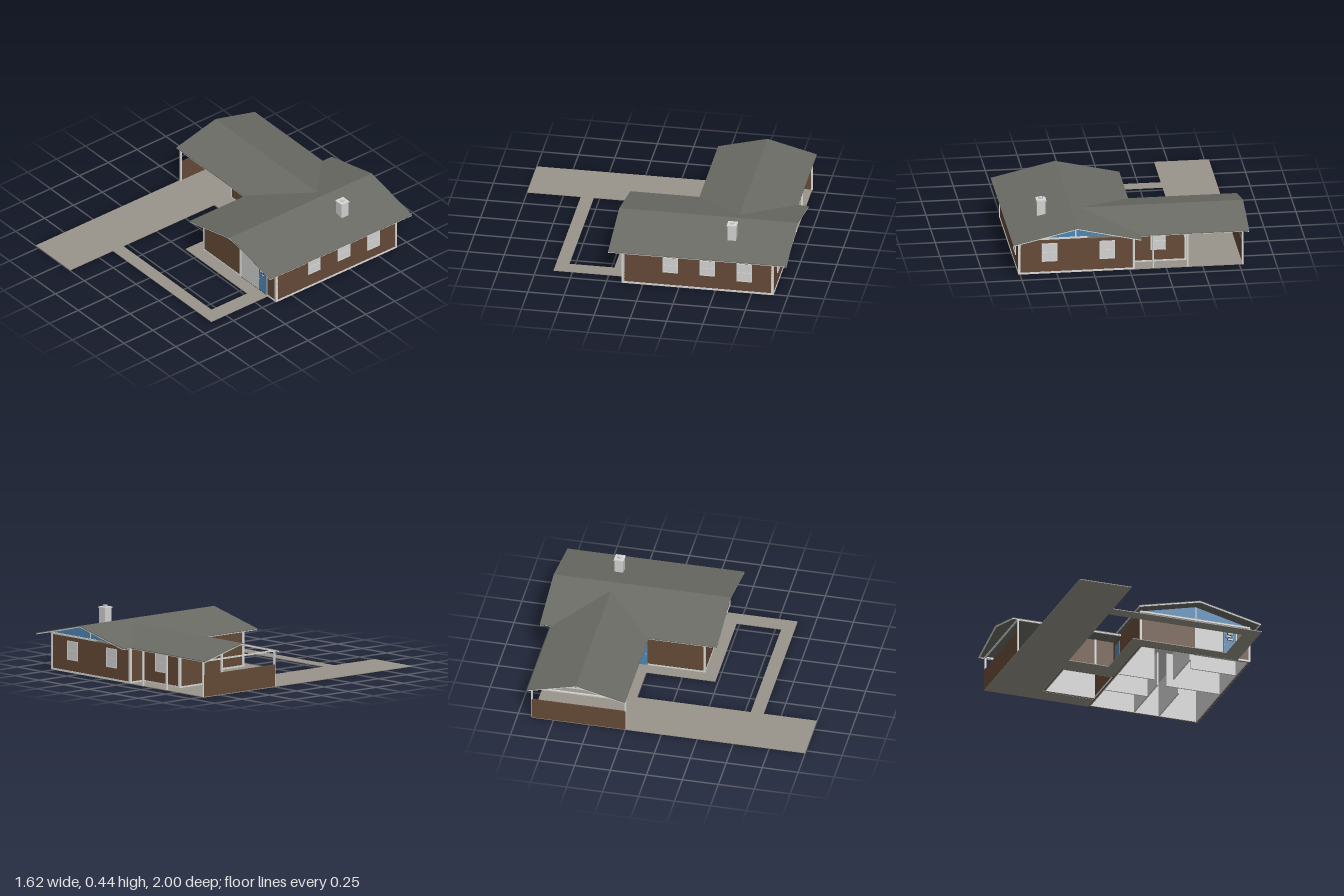
import * as THREE from 'three';

const paint = (name, hex) => {
  const m = new THREE.MeshStandardMaterial({ color: hex });
  m.name = name;
  return m;
};

export function createModel() {
  const roofGrey = paint('roof grey', 0x6b6b65);
  const brown = paint('brown siding', 0x654a37);
  const blue = paint('blue paint', 0x4f86b2);
  const white = paint('light trim', 0xd8d8d6);
  const plaster = paint('plaster', 0xd2d2d2);
  const concrete = paint('concrete', 0x9a958b);
  const dark = paint('dark frame', 0x2b3238);

  const house = new THREE.Group();
  house.name = 'house';

  const add = (name, geo, mat, parent = house) => {
    const mesh = new THREE.Mesh(geo, mat);
    mesh.name = name;
    parent.add(mesh);
    return mesh;
  };
  // Box given by its limits on each axis
  const box = (name, mat, x0, x1, y0, y1, z0, z1, parent = house) => {
    const mesh = add(name, new THREE.BoxGeometry(x1 - x0, y1 - y0, z1 - z0), mat, parent);
    mesh.position.set((x0 + x1) / 2, (y0 + y1) / 2, (z0 + z1) / 2);
    return mesh;
  };
  const extrude = (points, depth) => new THREE.ExtrudeGeometry(
    new THREE.Shape(points.map(([x, y]) => new THREE.Vector2(x, y))), { depth, bevelEnabled: false });
  // Gabled strip, extruded along +z
  const chevron = (half, eave, ridge, thick, depth) => extrude([
    [-half, eave], [-half, eave - thick], [0, ridge - thick],
    [half, eave - thick], [half, eave], [0, ridge]], depth);

  // Ground slabs
  box('driveway', concrete, -0.78, -0.405, 0, 0.005, -0.9, 1);
  box('path', concrete, -0.405, 0.67, 0, 0.005, 0.54, 0.63);
  box('entryPath', concrete, 0.56, 0.67, 0, 0.005, 0.23, 0.54);
  box('frontPorch', concrete, -0.115, 0.67, 0, 0.005, 0.14, 0.23);
  box('sidePorch', concrete, -0.115, -0.03, 0, 0.005, -0.25, 0.14);
  box('wingPorch', concrete, -0.405, -0.03, 0, 0.005, -0.39, -0.25);
  box('backPorch', concrete, -0.405, -0.03, 0, 0.005, -0.9, -0.78);

  // Outer walls: siding outside, plaster lining inside
  const T = 0.008;
  const wallX = (name, mat, x0, x1, z, inward) => { // wall running along x
    box(name, mat, x0, x1, 0.002, 0.255, Math.min(z, z + inward * T), Math.max(z, z + inward * T));
    box(name + 'Lining', plaster, x0, x1, 0.002, 0.255,
      Math.min(z + inward * T, z + inward * 2 * T), Math.max(z + inward * T, z + inward * 2 * T));
  };
  const wallZ = (name, mat, z0, z1, x, inward) => { // wall running along z
    box(name, mat, Math.min(x, x + inward * T), Math.max(x, x + inward * T), 0.002, 0.255, z0, z1);
    box(name + 'Lining', plaster, Math.min(x + inward * T, x + inward * 2 * T),
      Math.max(x + inward * T, x + inward * 2 * T), 0.002, 0.255, z0, z1);
  };
  wallX('frontWall', brown, -0.03, 0.37, 0.14, -1);
  wallX('entryWall', plaster, 0.37, 0.66, 0.135, -1);
  wallX('frontCornerWall', brown, 0.66, 0.76, 0.14, -1);
  wallX('backWall', brown, -0.03, 0.76, -0.9, 1);
  wallZ('rightWall', brown, -0.9, 0.14, 0.76, -1);
  wallZ('leftWall', brown, -0.9, 0.14, -0.03, 1);
  wallX('wingFrontWall', brown, -0.4, -0.03, -0.39, -1);
  wallX('wingBackWall', brown, -0.4, -0.03, -0.78, 1);
  wallZ('wingLeftWall', brown, -0.78, -0.39, -0.4, 1);

  // Ceiling and inner partitions
  box('ceiling', plaster, -0.02, 0.75, 0.248, 0.252, -0.89, 0.125);
  box('wingCeiling', plaster, -0.39, -0.03, 0.248, 0.252, -0.77, -0.4);
  [[-0.02, 0.25, -0.35], [0.36, 0.75, -0.42], [-0.02, 0.3, -0.62], [0.42, 0.75, -0.1]].forEach(
    ([x0, x1, z]) => box('partition', plaster, x0, x1, 0.005, 0.25, z - 0.005, z + 0.005));
  [[-0.89, -0.42, 0.3], [-0.89, -0.5, 0.48], [-0.3, 0.03, 0.37]].forEach(
    ([z0, z1, x]) => box('partition', plaster, x - 0.005, x + 0.005, 0.005, 0.25, z0, z1));

  // Corner boards, sills and beams
  const board = (x, z, w = 0.014) => box('cornerBoard', white, x - w / 2, x + w / 2, 0.005, 0.255, z - w / 2, z + w / 2);
  [[-0.027, 0.137], [0.757, 0.137], [0.757, -0.897], [-0.027, -0.897],
    [-0.397, -0.393], [-0.397, -0.777], [-0.163, -0.391]].forEach(([x, z]) => board(x, z));
  [0.37, 0.664].forEach(x => board(x, 0.137, 0.01));
  [[-0.03, 0.37, 0.14], [0.66, 0.76, 0.14], [-0.03, 0.76, -0.9], [-0.4, -0.03, -0.39], [-0.4, -0.03, -0.78]].forEach(
    ([x0, x1, z]) => box('sill', white, x0, x1, 0.003, 0.016, z - 0.003, z + 0.003));
  [[-0.9, 0.14, 0.76], [-0.9, 0.14, -0.03], [-0.78, -0.39, -0.4]].forEach(
    ([z0, z1, x]) => box('sill', white, x - 0.003, x + 0.003, 0.003, 0.016, z0, z1));
  [0.14, -0.9].forEach(z => box('gableBeam', white, -0.03, 0.76, 0.25, 0.262, z - 0.006, z + 0.006));

  // Blue gables with a centre batten
  [0.131, -0.899].forEach(z => {
    const g = add('gable', extrude([[-0.03, 0.255], [0.76, 0.255], [0.76, 0.258], [0.37, 0.353], [-0.03, 0.258]], 0.008), blue);
    g.position.z = z;
  });
  [0.139, -0.902].forEach(z => box('gableBatten', white, 0.366, 0.374, 0.26, 0.348, z, z + 0.003));

  // Entry: transom panel, door and staggered panes
  box('transomEdge', dark, 0.372, 0.66, 0.232, 0.251, 0.134, 0.1365);
  box('transom', plaster, 0.374, 0.658, 0.234, 0.251, 0.134, 0.138);
  box('frontDoor', blue, 0.57, 0.66, 0.006, 0.215, 0.13, 0.138);
  [[0.598, 0.183], [0.582, 0.162], [0.598, 0.141]].forEach(([x, y]) => {
    box('paneFrame', dark, x, x + 0.045, y, y + 0.017, 0.137, 0.141);
    box('pane', white, x + 0.005, x + 0.04, y + 0.004, y + 0.013, 0.138, 0.143);
  });
  const knob = (x, z) => add('doorKnob', new THREE.SphereGeometry(0.004, 8, 6), white).position.set(x, 0.1, z);
  knob(0.577, 0.142);
  box('sideDoor', blue, -0.034, -0.01, 0.006, 0.215, -0.35, -0.26);
  knob(-0.038, -0.27);

  // Sash windows
  const addWindow = (x, z, turn, y0 = 0.11, y1 = 0.222, w = 0.106) => {
    const g = new THREE.Group();
    g.name = 'window';
    box('glass', plaster, -w / 2, w / 2, y0, y1, 0, 0.003, g);
    [-1, 1].forEach(s => {
      const e = s * (w / 2 - 0.003);
      box('jamb', white, e - 0.003, e + 0.003, y0, y1, 0, 0.006, g);
    });
    [y0, (y0 + y1) / 2 - 0.003, y1 - 0.006].forEach(
      y => box('rail', white, -w / 2, w / 2, y, y + 0.006, 0, 0.0055, g));
    g.position.set(x, 0, z);
    g.rotation.y = turn;
    house.add(g);
  };
  addWindow(0.76, -0.19, Math.PI / 2);
  addWindow(0.76, -0.447, Math.PI / 2);
  addWindow(0.76, -0.702, Math.PI / 2, 0.088);
  addWindow(0.55, -0.9, Math.PI, 0.09);
  addWindow(0.155, -0.9, Math.PI, 0.09);
  addWindow(-0.21, -0.78, Math.PI, 0.09);

  // Carport: half wall, posts and beams
  box('carportHalfWall', brown, -0.781, -0.772, 0.005, 0.155, -0.9, -0.25);
  [[-0.772, -0.9], [-0.772, -0.25], [-0.397, -0.897], [-0.16, -0.897]].forEach(
    ([x, z]) => box('post', white, x - 0.006, x + 0.006, 0.004, 0.25, z - 0.006, z + 0.006));
  [-0.9, -0.253].forEach(z => box('carportBeam', white, -0.78, -0.03, 0.244, 0.254, z - 0.005, z + 0.005));
  box('carportTie', white, -0.778, -0.768, 0.244, 0.254, -0.9, -0.25);

  // Main roof, with verge boards and fascias
  const main = add('mainRoof', chevron(0.44, 0.26, 0.362, 0.005, 1.23), roofGrey);
  main.position.set(0.37, 0, -1);
  [-0.999, 0.221].forEach(z => {
    const v = add('verge', chevron(0.438, 0.2565, 0.3585, 0.008, 0.008), white);
    v.position.set(0.37, 0, z);
  });
  box('fascia', white, 0.802, 0.808, 0.25, 0.257, -0.998, 0.228);
  box('fascia', white, -0.068, -0.062, 0.25, 0.257, -0.245, 0.228);
  box('fascia', white, -0.068, -0.062, 0.25, 0.257, -0.998, -0.925);

  // Wing roof runs into the main roof
  const wing = add('wingRoof', chevron(0.34, 0.257, 0.345, 0.005, 1.105), roofGrey);
  wing.rotation.y = Math.PI / 2;
  wing.position.set(-0.815, 0, -0.585);
  const wingVerge = add('verge', chevron(0.338, 0.2535, 0.3415, 0.008, 0.008), white);
  wingVerge.rotation.y = Math.PI / 2;
  wingVerge.position.set(-0.814, 0, -0.585);
  [-0.92, -0.25].forEach(z => box('fascia', white, -0.812, -0.07, 0.248, 0.2545, z - 0.003, z + 0.003));

  // Chimney
  box('chimney', plaster, 0.54, 0.6, 0.3, 0.415, -0.615, -0.555);
  box('chimneyCap', white, 0.536, 0.604, 0.415, 0.424, -0.619, -0.551);
  const flue = add('flue', new THREE.CylinderGeometry(0.014, 0.014, 0.012, 16), plaster);
  flue.position.set(0.57, 0.43, -0.585);

  return house;
}
